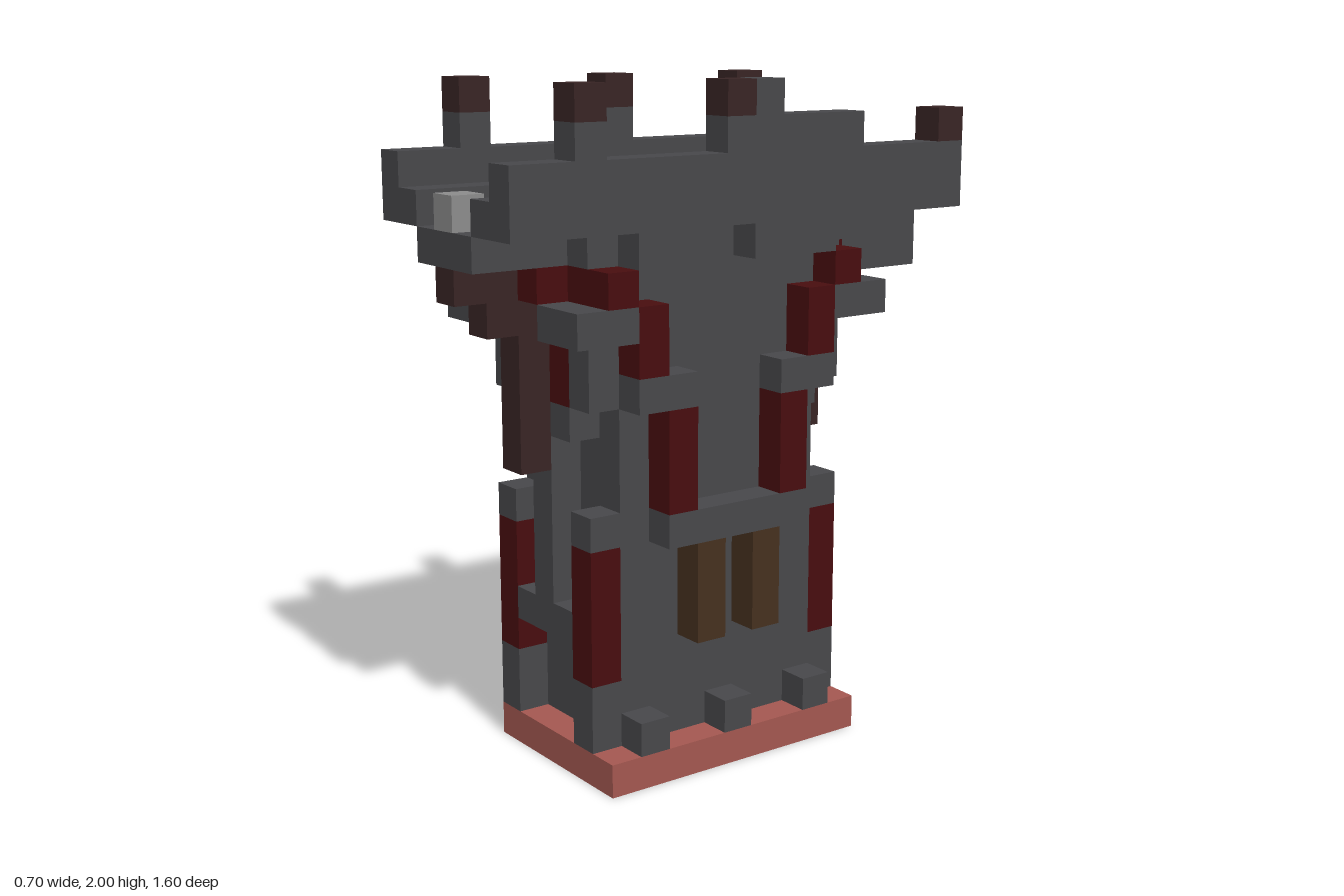
import * as THREE from 'three';

const U = 0.1; // one block

export function createModel() {
  const model = new THREE.Group();
  const mat = (name, color) => {
    const m = new THREE.MeshStandardMaterial({ color });
    m.name = name;
    return m;
  };
  const stone = mat('darkStone', 0x47474a);
  const red = mat('darkRed', 0x480d0f);
  const umber = mat('umber', 0x382424);
  const wood = mat('wood', 0x45301f);
  const brick = mat('brick', 0xa35750);
  const pale = mat('paleStone', 0x8b8b8b);

  // box given by its ranges in blocks
  const box = (name, m, [x0, x1], [y0, y1], [z0, z1]) => {
    const g = new THREE.BoxGeometry((x1 - x0) * U, (y1 - y0) * U, (z1 - z0) * U);
    g.translate((x0 + x1) * U / 2, (y0 + y1) * U / 2, (z0 + z1) * U / 2);
    const mesh = new THREE.Mesh(g, m);
    mesh.name = name;
    model.add(mesh);
  };
  // the same box on the left and the right
  const sides = (name, m, x, y, z) => {
    box(name, m, x, y, z);
    box(name, m, [-x[1], -x[0]], y, z);
  };
  // the tower is mirrored front to back about z = 0.5 blocks
  const back = ([z0, z1]) => [1 - z1, 1 - z0];
  const ends = (name, m, x, y, z) => {
    box(name, m, x, y, z);
    box(name, m, x, y, back(z));
  };
  const four = (name, m, x, y, z) => {
    sides(name, m, x, y, z);
    sides(name, m, x, y, back(z));
  };

  // base with teeth on one side, and low blocks on top of it
  box('base', brick, [-2.5, 3.5], [0, 1], [-4, 5]);
  for (const z of [-3, 0, 3]) {
    box('baseTooth', brick, [-3.5, -2.5], [0, 1], [z, z + 1]);
    sides('baseBlock', stone, [2.5, 3.5], [1, 2], [z, z + 1]);
  }

  // tower core
  box('towerCore', stone, [-2.5, 2.5], [1, 15], [-3, 4]);

  // corner posts with red shafts
  four('cornerFoot', stone, [1.5, 2.5], [1, 3], [4, 5]);
  four('cornerShaft', red, [1.5, 2.5], [3, 7], [4, 5]);
  four('cornerCap', stone, [1.5, 2.5], [7, 8], [4, 5]);

  // rib and crossbar on the front and back
  ends('rib', stone, [-0.5, 0.5], [5, 15], [4, 5]);
  ends('crossbar', stone, [-1.5, 1.5], [4, 5], [4, 5]);
  four('ribShoulder', stone, [0.5, 1.5], [10, 11], [4, 5]);
  four('redPanel', red, [0.5, 1.5], [11, 15], [4, 5]);
  four('redPanelTop', red, [0.5, 1.5], [14, 15], [5, 6]);
  four('upperCorner', stone, [1.5, 2.5], [11, 14], [4, 5]);
  four('upperCornerTop', red, [1.5, 3.5], [14, 15], [4, 5]);
  four('cornerArm', stone, [1.5, 3.5], [13, 14], [5, 6]);
  four('cornerArmRoot', stone, [2.5, 3.5], [13, 14], [4, 5]);

  // stepped bracket under the deck
  ends('bracketPost', umber, [-0.5, 0.5], [9, 13], [5, 6]);
  ends('bracketStep', umber, [-0.5, 0.5], [13, 14], [5, 7]);
  box('frontBracketTop', umber, [-0.5, 0.5], [14, 15], [5, 8]);
  box('backBracketTop', stone, [-1.5, 1.5], [14, 15], [-8, -5]);

  // side buttresses
  four('buttressFoot', wood, [2.5, 3.5], [4, 7], [1, 2]);
  sides('buttressSill', stone, [2.5, 3.5], [7, 8], [-2, 3]);
  four('buttressShaft', red, [2.5, 3.5], [8, 11], [2, 3]);
  four('buttressCap', stone, [2.5, 3.5], [11, 12], [2, 4]);
  four('buttressArm', red, [2.5, 3.5], [12, 14], [3, 4]);

  // deck floor, ledges and walls
  box('deckFloor', stone, [-1.5, 1.5], [15, 16], [-8, 8]);
  sides('deckShoulder', stone, [1.5, 2.5], [15, 16], [-4, 5]);
  four('wallFoot', stone, [2.5, 3.5], [15, 16], [1, 4]);
  sides('deckLedge', stone, [1.5, 2.5], [16, 17], [-8, 8]);
  for (const z of [-3, 2]) sides('ledgeBlock', stone, [0.5, 1.5], [16, 17], [z, z + 2]);
  sides('deckWall', stone, [2.5, 3.5], [16, 18], [-8, 8]);
  for (const z of [-8, 7]) box('paleBlock', pale, [-0.5, 0.5], [16, 17], [z, z + 1]);

  // battlements with dark tips
  for (const z of [0, 5]) {
    sides('merlon', stone, [2.5, 3.5], [18, 19], [z, z + 1]);
    sides('merlonTip', umber, [2.5, 3.5], [19, 20], [z, z + 1]);
  }
  box('merlon', stone, [-3.5, -2.5], [18, 19], [-5, -4]);
  box('merlonTip', umber, [-3.5, -2.5], [19, 20], [-5, -4]);
  box('merlonTip', umber, [2.5, 3.5], [18, 19], [-8, -7]);
  box('raisedWall', stone, [2.5, 3.5], [18, 19], [-4, 0]);
  box('raisedWallTop', stone, [2.5, 3.5], [19, 20], [-1, 0]);

  return model;
}
